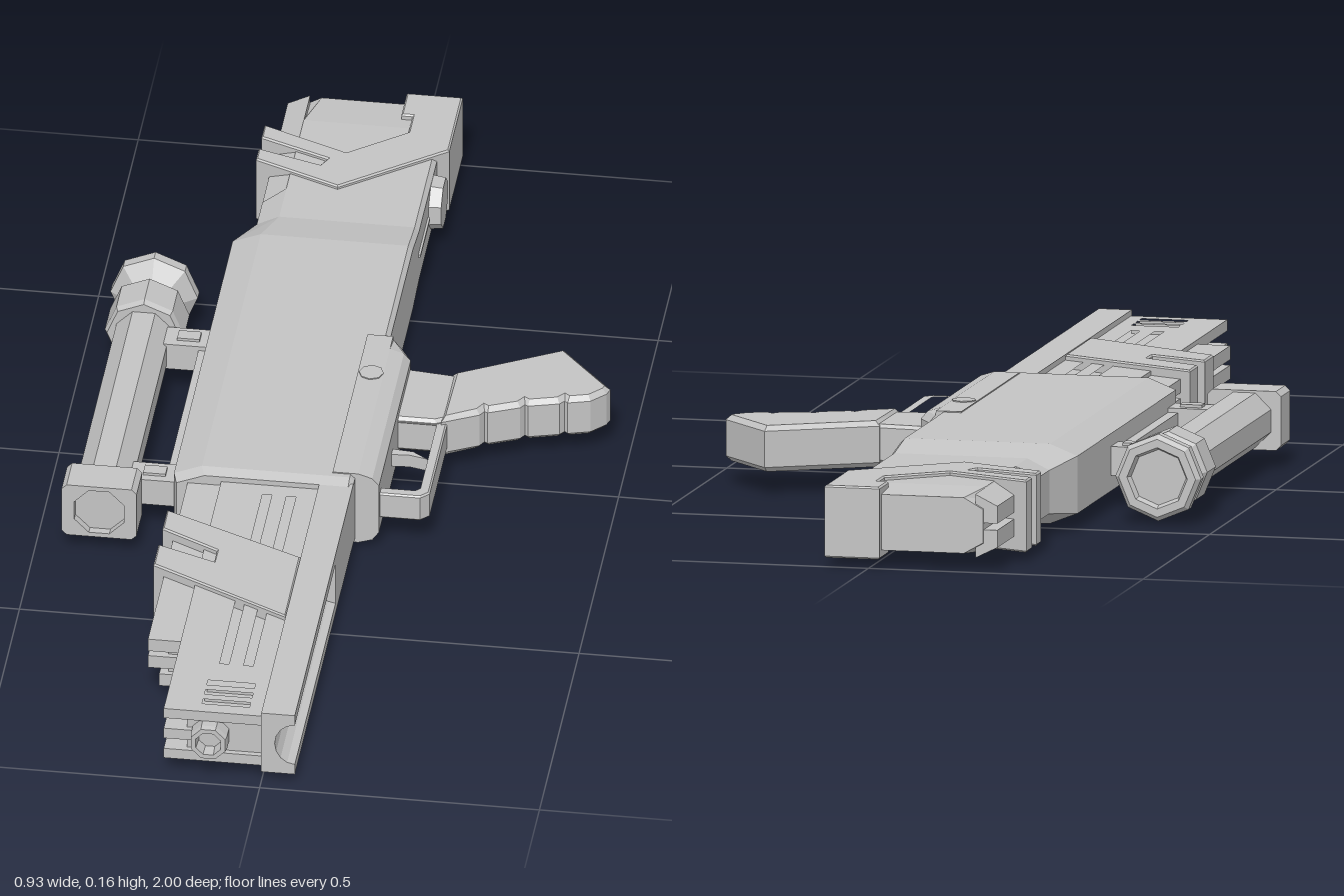
import * as THREE from 'three';

const grey = new THREE.MeshStandardMaterial({ color: 0xc4c4c4 });
grey.name = 'matte grey';

export function createModel() {
  const model = new THREE.Group();
  model.name = 'blaster';

  const add = (name, geometry) => {
    const flat = geometry.index ? geometry.toNonIndexed() : geometry;
    flat.computeVertexNormals();
    const mesh = new THREE.Mesh(flat, grey);
    mesh.name = name;
    model.add(mesh);
    return mesh;
  };

  // Box given by its limits on each axis
  const box = (name, x0, x1, y0, y1, z0, z1) => add(name,
    new THREE.BoxGeometry(x1 - x0, y1 - y0, z1 - z0)
      .translate((x0 + x1) / 2, (y0 + y1) / 2, (z0 + z1) / 2));

  // Outline in plan [x, z], raised from y0 to y1, with an optional chamfer
  const slab = (name, pts, y0, y1, bevel = 0, holes = []) => {
    const toV = ([x, z]) => new THREE.Vector2(x, -z);
    const shape = new THREE.Shape(pts.map(toV));
    holes.forEach(h => shape.holes.push(new THREE.Path(h.map(toV))));
    const g = new THREE.ExtrudeGeometry(shape, {
      depth: y1 - y0 - 2 * bevel, bevelEnabled: bevel > 0, bevelSize: bevel,
      bevelOffset: -bevel, bevelThickness: bevel, bevelSegments: 1,
    });
    return add(name, g.rotateX(-Math.PI / 2).translate(0, y0 + bevel, 0));
  };
  const rect = (x0, x1, z0, z1) => [[x0, z0], [x1, z0], [x1, z1], [x0, z1]];

  // Convex cross-sections [x, y] joined along z, lowest z first
  const loft = (name, rings) => {
    const pos = [], index = [], n = rings[0].pts.length;
    rings.forEach(r => r.pts.forEach(([x, y]) => pos.push(x, y, r.z)));
    for (let i = 0; i < rings.length - 1; i++) {
      for (let j = 0; j < n; j++) {
        const a = i * n + j, b = i * n + (j + 1) % n;
        index.push(a, b, b + n, a, b + n, a + n);
      }
    }
    const end = (rings.length - 1) * n;
    for (let j = 1; j < n - 1; j++) index.push(0, j + 1, j, end, end + j, end + j + 1);
    const g = new THREE.BufferGeometry();
    g.setAttribute('position', new THREE.Float32BufferAttribute(pos, 3));
    g.setIndex(index);
    return add(name, g);
  };

  // Turned part along z: profile of [radius, z], with z rising on the outside
  const turned = (name, profile, x, y, sides, twist = 0) => add(name,
    new THREE.LatheGeometry(profile.map(([r, z]) => new THREE.Vector2(r, z)), sides)
      .rotateY(twist).rotateX(Math.PI / 2).translate(x, y, 0));

  // Receiver and stock, chamfered on the outer side
  const section = (z, left, right, y0, y1, ch) => ({ z, pts: [
    [left, y0 + 0.02], [left + ch, y0], [right - 0.008, y0], [right, y0 + 0.008],
    [right, y1 - 0.008], [right - 0.008, y1], [left + ch, y1], [left, y1 - 0.02]] });
  loft('receiver', [
    section(-0.59, -0.23, 0.06, 0.025, 0.143, 0.04),
    section(-0.51, -0.262, 0.06, 0.014, 0.157, 0.05),
    section(0.23, -0.262, 0.06, 0.014, 0.157, 0.05),
    section(0.25, -0.255, 0.06, 0.02, 0.15, 0.05),
  ]);
  loft('stock', [
    section(-0.985, -0.205, 0.06, 0.035, 0.135, 0.035),
    section(-0.9, -0.205, 0.06, 0.027, 0.142, 0.015),
    section(-0.68, -0.205, 0.06, 0.025, 0.143, 0.015),
    section(-0.66, -0.23, 0.06, 0.025, 0.143, 0.04),
    section(-0.58, -0.23, 0.06, 0.025, 0.143, 0.04),
  ]);

  // Cheek strips above and below a groove along the stock
  for (const [y0, y1, slope0, slope1] of [[0.027, 0.078, 0.02, 0], [0.09, 0.141, 0, 0.02]]) {
    const ring = z => ({ z, pts: [[-0.23, y0 + slope0], [-0.19, y0], [-0.19, y1], [-0.23, y1 - slope1]] });
    loft('stockCheek', [ring(-0.98), ring(-0.65)]);
  }

  // Butt with its forked strap
  slab('buttPad', rect(0, 0.08, -1, -0.84), 0.02, 0.15, 0.003);
  slab('stockStrap', [
    [-0.02, -1], [0.08, -1], [0.08, -0.83], [-0.10, -0.69], [-0.255, -0.755],
    [-0.255, -0.79], [-0.14, -0.755], [-0.13, -0.775], [-0.255, -0.825],
    [-0.255, -0.865], [-0.10, -0.80], [0.015, -0.89], [0.015, -0.93], [-0.02, -0.93],
  ], 0.02, 0.15, 0.003);

  // Side knob, underside disc and side ridge
  add('stockKnob', new THREE.CylinderGeometry(0.046, 0.05, 0.03, 8)
    .rotateY(Math.PI / 8).rotateZ(-Math.PI / 2).translate(0.067, 0.088, -0.755));
  add('undersideDisc', new THREE.CylinderGeometry(0.065, 0.06, 0.025, 12)
    .scale(1, 1, 1.35).translate(-0.005, 0.0165, -0.59));
  box('sideRidge', 0.055, 0.064, 0.086, 0.092, -0.7, -0.58);

  // Fore-end beam with a scooped outer channel
  box('foreBlock', 0, 0.06, 0.025, 0.15, 0.24, 0.465);
  const beam = new THREE.Shape();
  beam.moveTo(0, 0.025).lineTo(0.06, 0.025).lineTo(0.06, 0.046);
  for (let i = 1; i <= 8; i++) {
    const a = Math.PI * i / 8;
    beam.lineTo(0.06 - 0.036 * Math.sin(a), 0.0875 - 0.0415 * Math.cos(a));
  }
  beam.lineTo(0.06, 0.15).lineTo(0, 0.15);
  add('foreBeam', new THREE.ExtrudeGeometry(beam, { depth: 0.52, bevelEnabled: false })
    .translate(0, 0, 0.46));

  // Barrel housing: core with slotted cover plates and a middle prong
  box('barrelCore', -0.135, 0.005, 0.05, 0.125, 0.24, 0.965);
  const slots = [
    rect(-0.097, -0.08, 0.28, 0.82), rect(-0.054, -0.037, 0.28, 0.82),
    rect(-0.11, -0.025, 0.875, 0.89), rect(-0.11, -0.025, 0.905, 0.92), rect(-0.11, -0.025, 0.935, 0.95),
  ];
  for (const [y0, y1] of [[0.035, 0.055], [0.12, 0.14]]) {
    slab('barrelCover', rect(-0.175, 0, 0.24, 0.975), y0, y1, 0, slots);
  }
  box('barrelProng', -0.175, -0.125, 0.077, 0.098, 0.24, 0.975);

  // Long fins beside the barrel
  box('finCore', -0.2, -0.13, 0.045, 0.13, 0.24, 0.74);
  for (const [y0, y1, left] of [[0.035, 0.06, -0.215], [0.072, 0.097, -0.235], [0.107, 0.132, -0.235]]) {
    box('barrelFin', left, -0.13, y0, y1, 0.24, 0.75);
  }

  // Forked strap around the barrel
  slab('barrelStrap', [
    [-0.255, 0.365], [0, 0.48], [0, 0.67], [-0.255, 0.54],
    [-0.255, 0.475], [-0.15, 0.515], [-0.15, 0.48], [-0.255, 0.425],
  ], 0.025, 0.15, 0.003);

  // Muzzle with an open bore
  turned('muzzle', [[0.035, 0.95], [0.035, 0.99], [0.033, 1], [0.024, 1], [0.022, 0.975], [0, 0.975]],
    -0.092, 0.088, 8, Math.PI / 8);

  // Trigger housing with a sloped rear, and its pivot pins
  const housing = (z, right) => ({ z, pts: [
    [0.02, 0.013], [Math.min(right, 0.066), 0.013], [right - 0.012, 0.021], [right, 0.038],
    [right, 0.137], [right - 0.012, 0.151], [Math.min(right, 0.066), 0.159], [0.02, 0.159]] });
  loft('triggerHousing', [housing(-0.22, 0.079), housing(-0.18, 0.103), housing(0.22, 0.103)]);
  for (const y of [0.013, 0.159]) {
    add('pivotPin', new THREE.CylinderGeometry(0.022, 0.022, 0.004, 8).translate(0.044, y, -0.1));
  }

  // Trigger guard and trigger
  slab('triggerGuard', [[0.09, -0.03], [0.19, -0.03], [0.19, 0.195], [0.175, 0.21], [0.09, 0.21]],
    0.062, 0.114, 0.003, [[[0.1, -0.02], [0.175, -0.02], [0.175, 0.185], [0.165, 0.195], [0.1, 0.195]]]);
  slab('trigger', [[0.09, 0.045], [0.14, 0.05], [0.168, 0.07], [0.135, 0.062], [0.09, 0.065]], 0.075, 0.1);

  // Grip: neck and a finger-grooved handle
  slab('gripNeck', [[0.09, -0.18], [0.19, -0.17], [0.24, -0.19], [0.24, -0.06], [0.17, -0.02], [0.09, -0.02]],
    0.052, 0.122, 0.006);
  slab('gripHandle', [
    [0.18, -0.172], [0.365, -0.274], [0.462, -0.165], [0.457, -0.15], [0.432, -0.124],
    [0.393, -0.113], [0.387, -0.118], [0.379, -0.108], [0.325, -0.093], [0.319, -0.097],
    [0.312, -0.086], [0.257, -0.062], [0.251, -0.066], [0.244, -0.053], [0.18, -0.02],
  ], 0.045, 0.128, 0.009);

  // Scope: tube, square front hood, flared eyepiece
  const sx = -0.386, sy = 0.088;
  turned('scopeTube', [[0.053, -0.28], [0.053, 0.24]], sx, sy, 8, Math.PI / 8);
  const hood = new THREE.Shape([[-0.067, -0.044], [-0.058, -0.053], [0.058, -0.053], [0.067, -0.044],
    [0.067, 0.044], [0.058, 0.053], [-0.058, 0.053], [-0.067, 0.044]].map(p => new THREE.Vector2(...p)));
  const ring = [];
  for (let i = 0; i < 8; i++) {
    const a = (i + 0.5) * Math.PI / 4;
    ring.push(new THREE.Vector2(0.048 * Math.cos(a), 0.048 * Math.sin(a)));
  }
  hood.holes.push(new THREE.Path(ring));
  add('scopeHood', new THREE.ExtrudeGeometry(hood, { depth: 0.07, bevelEnabled: false }).translate(sx, sy, 0.23));
  for (const z of [0.237, 0.28]) {
    add('frontLens', new THREE.CylinderGeometry(0.05, 0.05, 0.01, 8)
      .rotateY(Math.PI / 8).rotateX(Math.PI / 2).translate(sx, sy, z));
  }
  turned('eyepiece', [
    [0, -0.412], [0.05, -0.412], [0.055, -0.424], [0.07, -0.424], [0.078, -0.415], [0.078, -0.395],
    [0.042, -0.367], [0.06, -0.352], [0.071, -0.34], [0.071, -0.275], [0.066, -0.265], [0, -0.265],
  ], sx, sy, 8);

  // Scope brackets and rail
  for (const [z0, z1] of [[-0.26, -0.205], [0.17, 0.225]]) {
    box('scopeBracket', -0.345, -0.25, 0.062, 0.114, z0, z1);
    box('bracketClamp', -0.32, -0.28, 0.057, 0.119, z0 + 0.015, z1 - 0.015);
  }
  box('scopeRail', -0.28, -0.25, 0.07, 0.106, -0.24, 0.21);

  return model;
}
